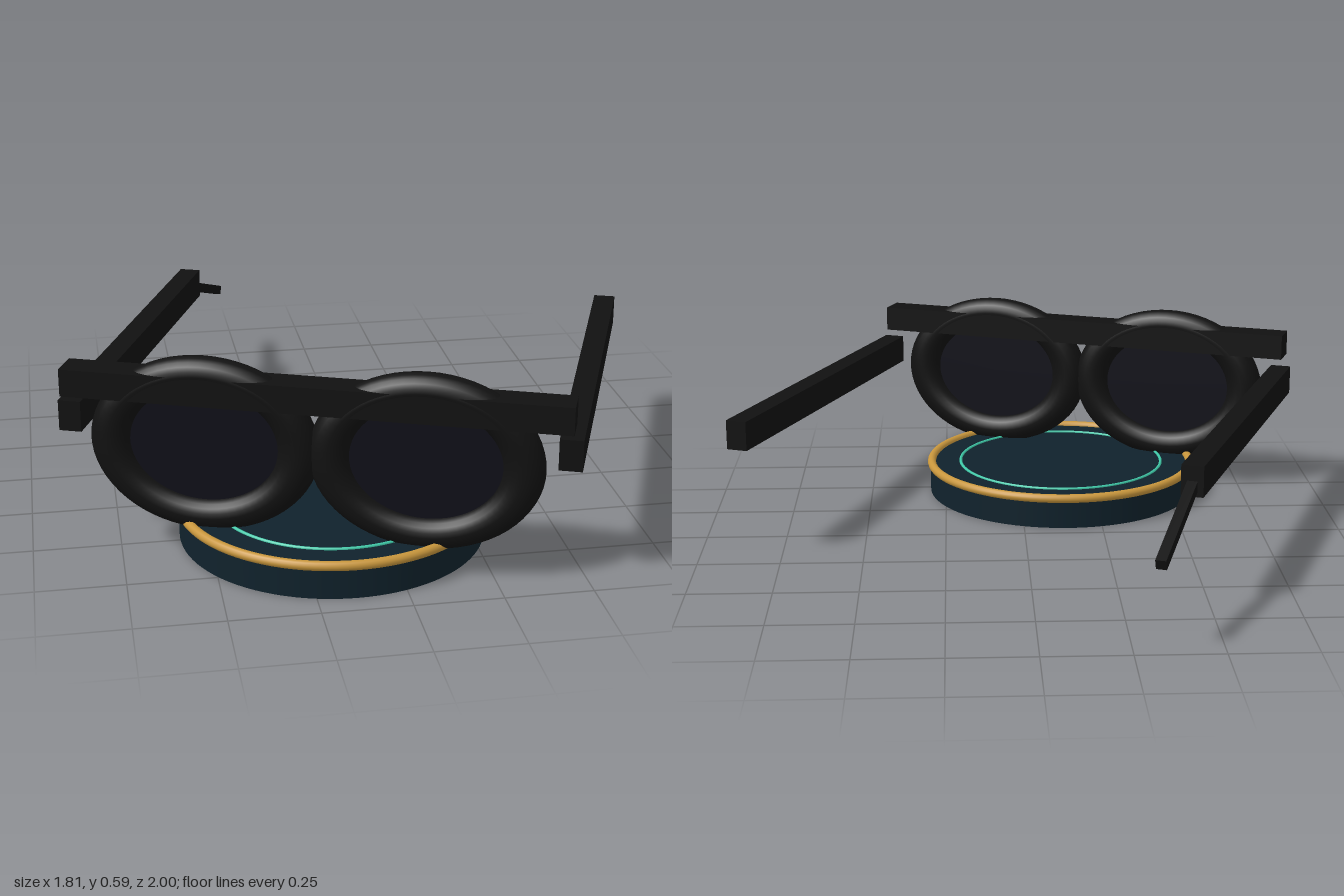
import * as THREE from 'three';

const mat = (color) => new THREE.MeshStandardMaterial({ color });

function add(parent, name, geometry, material, x, y, z) {
  const mesh = new THREE.Mesh(geometry, material);
  mesh.name = name;
  mesh.position.set(x, y, z);
  parent.add(mesh);
  return mesh;
}

export function createModel() {
  const model = new THREE.Group();
  model.name = 'glassesOnStand';
  const frameMat = mat(0x111111), lensMat = mat(0x0f0f18);

  // Round display stand with a gold rim and an inlaid ring
  const stand = new THREE.Group();
  stand.name = 'stand';
  stand.position.set(-0.14, 0, 0.49);
  model.add(stand);
  add(stand, 'standDisc', new THREE.CylinderGeometry(0.442, 0.442, 0.097, 96), mat(0x10222c), 0, 0.0485, 0);
  const rim = add(stand, 'standRim', new THREE.TorusGeometry(0.438, 0.014, 14, 96), mat(0xc8963c), 0, 0.097, 0);
  const inlay = add(stand, 'standInlay', new THREE.TorusGeometry(0.34, 0.005, 8, 96), mat(0x3fc9a8), 0, 0.098, 0);
  rim.rotation.x = inlay.rotation.x = Math.PI / 2;

  // Glasses, turned on the stand; local z = 0 is the plane of the lenses
  const glasses = new THREE.Group();
  glasses.name = 'glasses';
  glasses.position.set(-0.222, 0, 0.7);
  glasses.rotation.y = -0.37;
  model.add(glasses);
  add(glasses, 'browBar', new THREE.BoxGeometry(1.42, 0.08, 0.09), frameMat, 0, 0.5, 0);

  for (const [side, s] of [['left', 1], ['right', -1]]) {
    // Wide oval lens rim with its dark lens
    const ring = add(glasses, side + 'LensRim', new THREE.TorusGeometry(0.211, 0.046, 20, 64), frameMat, s * 0.311, 0.335, 0);
    ring.scale.x = 1.27;
    const lensGeo = new THREE.CylinderGeometry(0.19, 0.19, 0.02, 64).rotateX(Math.PI / 2);
    const lens = add(glasses, side + 'Lens', lensGeo, lensMat, s * 0.311, 0.335, 0);
    lens.scale.x = 1.27;
    // Straight temple arm
    add(glasses, side + 'Temple', new THREE.BoxGeometry(0.065, 0.09, 1.22), frameMat, s * 0.701, 0.384, -0.61);
  }

  // Thin drooping ear tip, on the right temple only
  const tip = add(glasses, 'rightEarTip', new THREE.BoxGeometry(0.03, 0.03, 0.42), frameMat, -0.701, 0.322, -1.347);
  tip.rotation.x = -0.35;

  return model;
}
